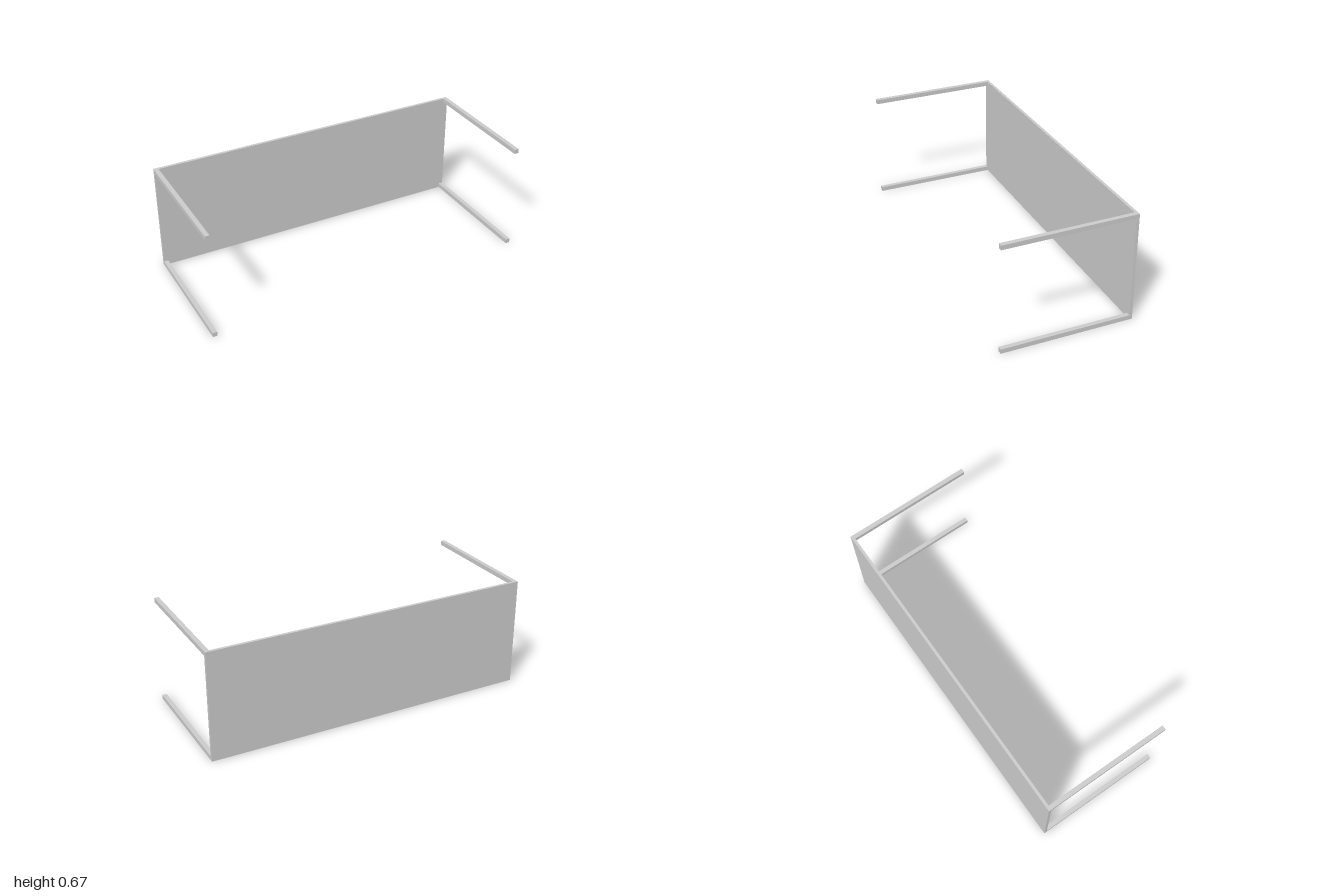
import * as THREE from 'three';

// A table lying on its long edge: the top stands upright, four legs point forward.
const WIDTH = 2;
const HEIGHT = 0.667;
const FRONT = 0.398;
const BACK = -0.398;
const TOP_THICKNESS = 0.017;
const LEG = 0.027;

export function createModel() {
  const model = new THREE.Group();
  model.name = 'table';
  const material = new THREE.MeshStandardMaterial({ color: 0xcccccc });

  const addBox = (name, size, position) => {
    const mesh = new THREE.Mesh(new THREE.BoxGeometry(...size), material);
    mesh.name = name;
    mesh.position.set(...position);
    model.add(mesh);
  };

  // Thin table top
  addBox('tableTop', [WIDTH, HEIGHT, TOP_THICKNESS], [0, HEIGHT / 2, BACK + TOP_THICKNESS / 2]);

  // Square legs, flush with the four corners
  const legStart = BACK + TOP_THICKNESS;
  const legLength = FRONT - legStart;
  for (const [side, sx] of [['Left', 1], ['Right', -1]]) {
    for (const [level, y] of [['lower', LEG / 2], ['upper', HEIGHT - LEG / 2]]) {
      addBox(`${level}${side}Leg`, [LEG, LEG, legLength],
        [sx * (WIDTH - LEG) / 2, y, legStart + legLength / 2]);
    }
  }
  return model;
}
